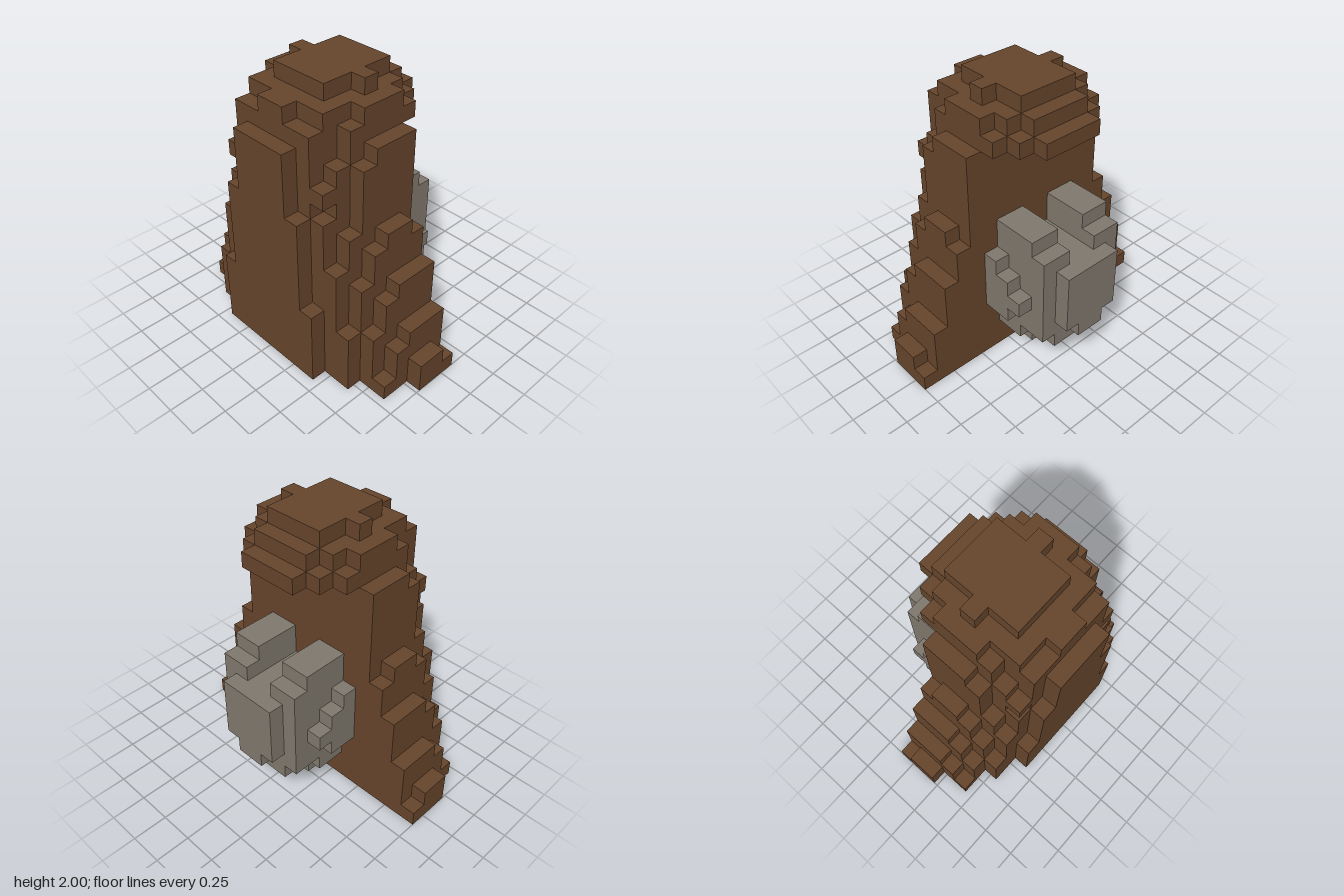
import * as THREE from 'three';

const U = 1 / 9; // edge of one block

// A mirrored, stepped slab from z0 to z1. Each step is [topY, halfWidth], counted upward from y0.
function slab(name, material, z0, z1, y0, steps) {
  const right = [], left = [];
  let y = y0;
  for (const [top, w] of steps) {
    right.push(new THREE.Vector2(w * U, y * U), new THREE.Vector2(w * U, top * U));
    left.unshift(new THREE.Vector2(-w * U, top * U), new THREE.Vector2(-w * U, y * U));
    y = top;
  }
  const geometry = new THREE.ExtrudeGeometry(new THREE.Shape([...right, ...left]), {
    depth: (z1 - z0) * U, bevelEnabled: false,
  });
  geometry.translate(0, 0, z0 * U);
  const mesh = new THREE.Mesh(geometry, material);
  mesh.name = name;
  return mesh;
}

// A box given by its block limits.
function block(name, material, x0, x1, y0, y1, z0, z1) {
  const geometry = new THREE.BoxGeometry((x1 - x0) * U, (y1 - y0) * U, (z1 - z0) * U);
  geometry.translate((x0 + x1) / 2 * U, (y0 + y1) / 2 * U, (z0 + z1) / 2 * U);
  const mesh = new THREE.Mesh(geometry, material);
  mesh.name = name;
  return mesh;
}

export function createModel() {
  const brown = new THREE.MeshStandardMaterial({ color: 0x65442b });
  brown.name = 'brown';
  const grey = new THREE.MeshStandardMaterial({ color: 0x7f776c });
  grey.name = 'grey';

  const model = new THREE.Group();
  model.name = 'steppedMound';

  // Brown body, layered from the flat back to the front
  const body = new THREE.Group();
  body.name = 'body';
  const bodyLayers = [
    [-1, 0, [[1, 9], [4, 8], [7, 7], [9, 6], [15, 5]]],
    [0, 2, [[2, 9], [4, 8], [7, 7], [10, 6], [15, 5]]],
    [2, 3, [[3, 8], [6, 7], [9, 6], [14, 5], [15, 4]]],
    [3, 4, [[1, 8], [4, 7], [7, 6], [10, 5], [14, 4], [15, 3]]],
    [4, 5, [[4, 6], [8, 5], [11, 4], [12, 3], [13, 4], [15, 3]]],
    [5, 6, [[5, 4], [11, 3], [15, 2]]],
  ];
  for (const [z0, z1, steps] of bodyLayers) body.add(slab('bodyLayer', brown, z0, z1, 0, steps));
  model.add(body);

  // Rounded cap overhanging the back
  const cap = new THREE.Group();
  cap.name = 'cap';
  const capLayers = [
    [-4, -3, [[16, 2]]],
    [-3, -2, [[16, 3], [17, 2]]],
    [-2, -1, [[16, 4], [17, 3], [18, 2]]],
    [-1, 0, [[17, 4], [18, 2]]],
    [0, 1, [[17, 4], [18, 3]]],
    [1, 2, [[17, 4], [18, 2]]],
    [2, 3, [[16, 4], [17, 3], [18, 2]]],
    [3, 4, [[17, 3]]],
    [4, 5, [[16, 3], [17, 1]]],
  ];
  for (const [z0, z1, steps] of capLayers) cap.add(slab('capLayer', brown, z0, z1, 15, steps));
  model.add(cap);

  // Grey hump on the back, tapering downward
  const hump = new THREE.Group();
  hump.name = 'backHump';
  const humpLayers = [
    [-2, -1, 0, [[1, 1], [2, 2], [4, 3], [8, 4]]],
    [-3, -2, 1, [[2, 2], [4, 3], [7, 4], [8, 3]]],
    [-4, -3, 1, [[2, 1], [3, 2], [5, 3], [6, 4], [8, 3]]],
    [-5, -4, 2, [[3, 2], [8, 3]]],
    [-6, -5, 3, [[4, 1], [8, 2]]],
  ];
  for (const [z0, z1, y0, steps] of humpLayers) hump.add(slab('humpLayer', grey, z0, z1, y0, steps));

  // Twin lobes on top of the hump, with a groove between them
  for (const s of [-1, 1]) {
    const span = (a, b) => (s > 0 ? [a, b] : [-b, -a]);
    hump.add(
      block('humpLobe', grey, ...span(1, 3), 8, 9, -5, -1),
      block('humpLobeTop', grey, ...span(1, 3), 9, 10, -4, -1),
    );
  }
  model.add(hump);

  return model;
}
